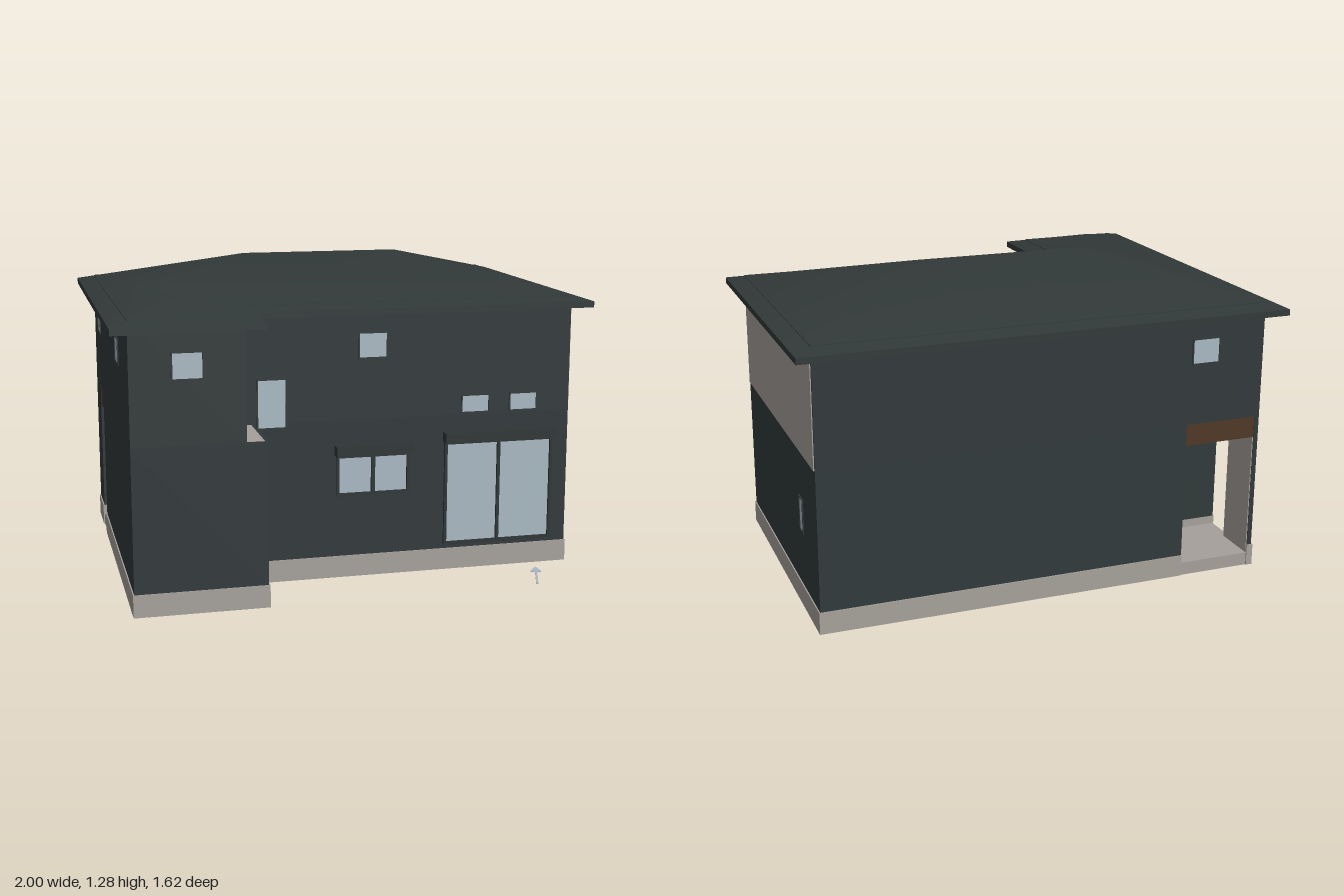
import * as THREE from 'three';
import { mergeVertices } from 'three/addons/utils/BufferGeometryUtils.js';

const mat = (name, color, side = THREE.FrontSide) => {
  const m = new THREE.MeshStandardMaterial({ color, side });
  m.name = name;
  return m;
};

export function createModel() {
  const house = new THREE.Group();
  house.name = 'house';

  const wallMat = mat('charcoal wall', 0x31393a);
  const roofMat = mat('dark slate roof', 0x313938);
  const trimMat = mat('dark trim', 0x2e3535);
  const stoneMat = mat('warm grey render', 0xa5a09a);
  const glassMat = mat('pale glass', 0xa8b8c2);
  const woodMat = mat('brown wood', 0x4f3826);
  const floorMat = mat('dark brown floor', 0x433028);

  const add = (name, geometry, material, parent = house) => {
    const mesh = new THREE.Mesh(geometry, material);
    mesh.name = name;
    parent.add(mesh);
    return mesh;
  };

  // Box given by its minimum and maximum corners
  const box = (name, x0, x1, y0, y1, z0, z1, material, parent) => {
    const g = new THREE.BoxGeometry(x1 - x0, y1 - y0, z1 - z0);
    g.translate((x0 + x1) / 2, (y0 + y1) / 2, (z0 + z1) / 2);
    return add(name, g, material, parent);
  };

  // Upright prism over a plan outline of [x, z] points; a hole runs the same way round
  const prism = (name, outline, y0, y1, material, hole) => {
    const plan = (pts) => pts.map(([x, z]) => new THREE.Vector2(x, -z));
    const shape = new THREE.Shape(plan(outline));
    if (hole) shape.holes.push(new THREE.Path(plan(hole).reverse()));
    const g = new THREE.ExtrudeGeometry(shape, { depth: y1 - y0, bevelEnabled: false });
    g.rotateX(-Math.PI / 2).translate(0, y0, 0);
    return add(name, g, material);
  };

  // Foundation rim, hollow underneath, with the porch corner left out
  const rimInner = [[-0.57, -0.713], [0.903, -0.713], [0.903, 0.423], [-0.437, 0.423],
    [-0.437, 0.713], [-0.903, 0.713], [-0.903, -0.38], [-0.57, -0.38]];
  prism('foundation', [[-0.6, -0.745], [0.935, -0.745], [0.935, 0.455], [-0.405, 0.455],
    [-0.405, 0.745], [-0.935, 0.745], [-0.935, -0.41], [-0.6, -0.41]], 0, 0.09, stoneMat, rimInner);
  prism('underfloor', rimInner, 0.083, 0.089, floorMat);

  // Walls: the lower storey leaves the porch open, the upper storey covers it
  prism('lowerWalls', [[-0.6, -0.74], [0.93, -0.74], [0.93, 0.45], [-0.41, 0.45],
    [-0.41, 0.74], [-0.93, 0.74], [-0.93, -0.41], [-0.6, -0.41]], 0.09, 0.66, wallMat);
  prism('upperWalls', [[-0.93, -0.74], [0.93, -0.74], [0.93, 0.45], [-0.49, 0.45],
    [-0.49, 0.74], [-0.93, 0.74]], 0.66, 1.14, wallMat);
  box('wingLedge', -0.49, -0.42, 0.66, 0.661, 0.45, 0.735, stoneMat);
  box('sidePanel', 0.93, 0.934, 0.66, 1.1, -0.732, 0.442, stoneMat);

  // Corner porch
  box('porchFloor', -0.93, -0.6, 0, 0.055, -0.74, -0.41, stoneMat);
  box('entrySlab', -0.87, -0.58, 0.003, 0.083, -0.41, -0.18, stoneMat);
  box('porchPillar', -0.93, -0.91, 0.09, 0.66, -0.74, -0.55, wallMat);
  box('pillarLining', -0.91, -0.906, 0.055, 0.57, -0.738, -0.552, stoneMat);
  box('pillarBase', -0.935, -0.908, 0, 0.09, -0.745, -0.55, stoneMat);
  box('porchLintel', -0.91, -0.6, 0.57, 0.66, -0.738, -0.41, woodMat);
  box('sideLintel', -0.928, -0.91, 0.57, 0.66, -0.55, -0.41, woodMat);

  // Eaves slab
  const eave = 1.12, pitch = 0.165 / 0.665;
  prism('eaves', [[-1, -0.81], [1, -0.81], [1, 0.52], [-0.42, 0.52], [-0.42, 0.81], [-1, 0.81]],
    1.095, eave, roofMat);

  // Softly shaded hip roof: each point is [x, z, distance in from the eave]
  const A = [-1, 0.52, 0], B = [1, 0.52, 0], C = [1, -0.81, 0], D = [-1, -0.81, 0];
  const L = [-0.335, -0.145, 0.665], R = [0.335, -0.145, 0.665];
  const E = [-1, 0.81, 0], F = [-0.42, 0.81, 0], G = [-0.42, 0.52, 0];
  const T = [-0.71, 0.52, 0.29], U = [-0.71, 0.23, 0.29];
  const roofFaces = [[B, R, L, U, G], [B, C, R], [C, D, L, R], [D, A, U, L],
    [E, F, T], [G, U, T, F], [A, E, T, U]];
  const pos = [];
  for (const f of roofFaces)
    for (let i = 1; i < f.length - 1; i++)
      for (const [x, z, d] of [f[0], f[i], f[i + 1]]) pos.push(x, eave + d * pitch, z);
  const slopes = new THREE.BufferGeometry();
  slopes.setAttribute('position', new THREE.Float32BufferAttribute(pos, 3));
  const roof = mergeVertices(slopes);
  roof.computeVertexNormals();
  add('hipRoof', roof, roofMat);

  // Window with a slim frame; u runs rightwards as seen from outside
  const rect = (P, x0, x1, y0, y1) => new P([[x0, y0], [x1, y0], [x1, y1], [x0, y1]]
    .map(([x, y]) => new THREE.Vector2(x, y)));
  const addWindow = (name, panes, y0, y1, turn, x, z, hood) => {
    const win = new THREE.Group();
    win.name = name;
    const pad = hood ? 0.012 : 0.006, u0 = panes[0][0], u1 = panes[panes.length - 1][1];
    const shape = rect(THREE.Shape, u0 - pad, u1 + pad, y0 - pad, y1 + pad);
    for (const [a, b] of panes) {
      shape.holes.push(rect(THREE.Path, a, b, y0, y1));
      box('glass', a, b, y0, y1, 0, 0.002, glassMat, win);
    }
    add('frame', new THREE.ExtrudeGeometry(shape, { depth: hood ? 0.012 : 0.005, bevelEnabled: false }),
      hood ? trimMat : wallMat, win);
    if (hood) box('shutterHood', u0 - 0.018, u1 + 0.018, y1 + 0.012, y1 + 0.053, 0, 0.045, trimMat, win);
    win.rotation.y = turn;
    win.position.set(x, 0, z);
    house.add(win);
  };
  const q = Math.PI / 2;
  // Front
  addWindow('wingUpperWindow', [[-0.767, -0.655]], 0.915, 1.012, 0, 0, 0.74);
  addWindow('frontUpperWindow', [[0.025, 0.137]], 0.915, 1.012, 0, 0, 0.45);
  addWindow('stairWindow', [[-0.392, -0.28]], 0.645, 0.838, 0, 0, 0.45);
  for (const u of [0.463, 0.672])
    addWindow('slotWindow', [[u, u + 0.112]], 0.67, 0.737, 0, 0, 0.45);
  addWindow('kitchenWindow', [[-0.06, 0.074], [0.09, 0.225]], 0.357, 0.505, 0, 0, 0.45, true);
  addWindow('patioDoor', [[0.4, 0.617], [0.63, 0.85]], 0.12, 0.537, 0, 0, 0.45, true);
  // Right side (+x), where u = -z
  addWindow('wingSideWindow', [[-0.628, -0.543]], 0.328, 0.462, q, -0.41, 0);
  addWindow('sideSlitWindow', [[0.465, 0.512]], 0.328, 0.462, q, 0.93, 0);
  // Left side (-x), where u = z
  addWindow('porchUpperWindow', [[-0.54, -0.43]], 0.915, 1.012, -q, -0.93, 0);
  addWindow('leftUpperWindow', [[0.265, 0.375]], 0.915, 1.012, -q, -0.93, 0);
  // Back, where u = -x
  addWindow('backUpperWindow', [[0.615, 0.727]], 0.915, 1.012, 2 * q, 0, -0.74);

  // Flat direction arrow on the ground
  prism('arrowShaft', [[0.698, 0.73], [0.706, 0.733], [0.759, 0.588], [0.75, 0.585]], 0, 0.004, glassMat);
  prism('arrowHead', [[0.732, 0.578], [0.775, 0.592], [0.773, 0.53]], 0, 0.005, glassMat);

  return house;
}
